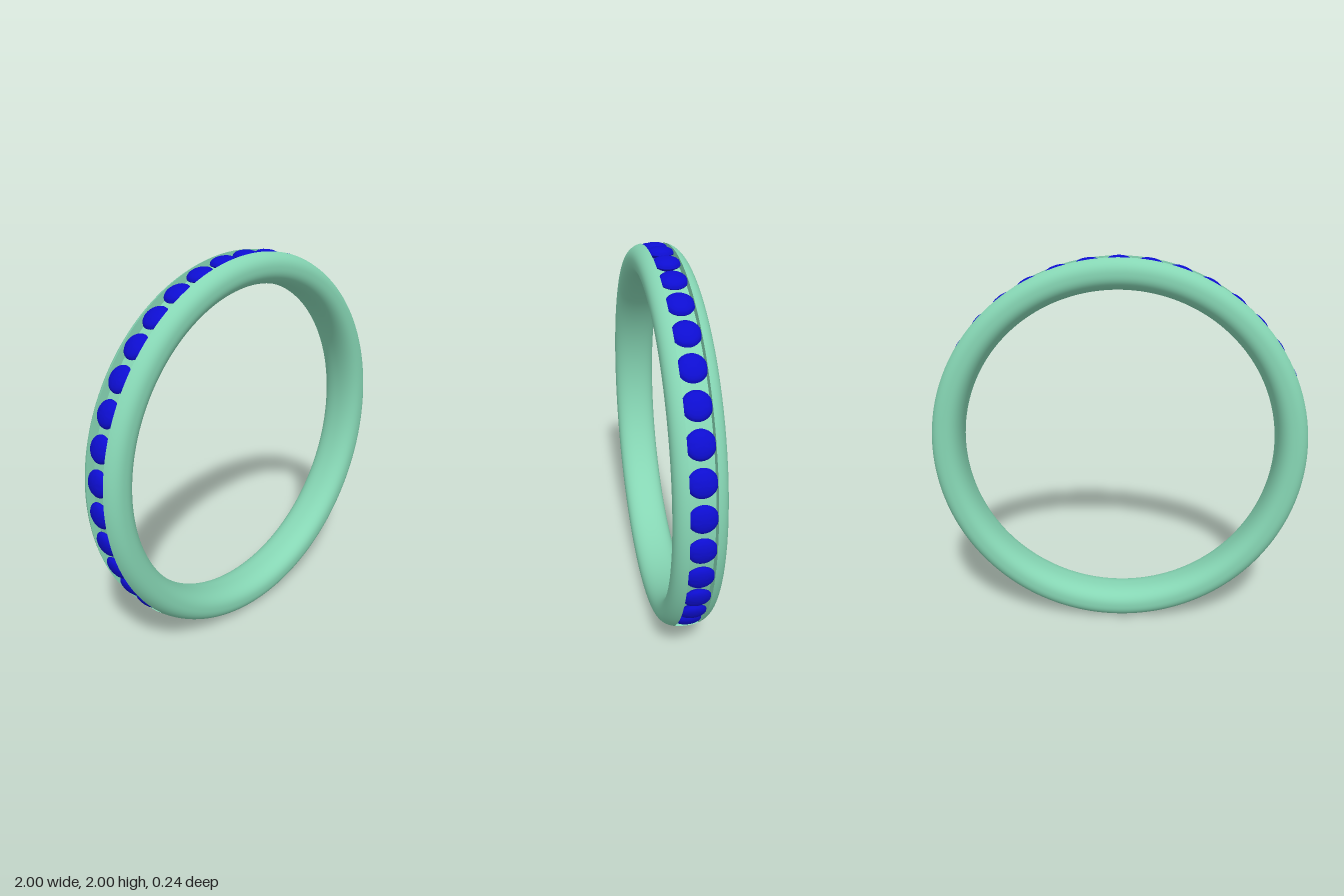
import * as THREE from 'three';
import { toCreasedNormals } from 'three/addons/utils/BufferGeometryUtils.js';

const MID = 0.917, HALF_R = 0.083, HALF_Z = 0.118, POWER = 2.4; // rounded band section
const SLOT = 0.06, FLOOR = 0.95; // channel half width and floor radius
const OPEN = Math.PI / 4; // channel ends, measured from the bottom of the ring
const SLOT_T = Math.asin(Math.pow(SLOT / HALF_Z, POWER / 2));

// Points (radius, z) along the band section between two parameters
function section(t0, t1, n) {
  const bulge = (v) => Math.sign(v) * Math.pow(Math.abs(v), 2 / POWER);
  return Array.from({ length: n + 1 }, (_, i) => {
    const t = t0 + ((t1 - t0) * i) / n;
    return new THREE.Vector2(MID + HALF_R * bulge(Math.cos(t)), HALF_Z * bulge(Math.sin(t)));
  });
}

// Revolve about the z axis; angle 0 is the bottom of the ring
function sweep(points, start, length, segments) {
  return new THREE.LatheGeometry(points, segments, start, length).rotateX(Math.PI / 2);
}

export function createModel() {
  const ring = new THREE.Group();
  ring.name = 'ring';
  const metal = new THREE.MeshStandardMaterial({ color: 0x86d6b4, side: THREE.DoubleSide });
  const gem = new THREE.MeshStandardMaterial({ color: 0x0d0dd0 });
  const add = (name, geometry, material, parent = ring) => {
    const mesh = new THREE.Mesh(geometry, material);
    mesh.name = name;
    parent.add(mesh);
    return mesh;
  };

  // Band: sides and inner face all round, solid outer face along the bottom
  add('band', sweep(section(SLOT_T, 2 * Math.PI - SLOT_T, 56), 0, 2 * Math.PI, 192), metal);
  const crown = section(-SLOT_T, SLOT_T, 12);
  add('bottomOuterFace', sweep(crown, -OPEN, 2 * OPEN, 48), metal);

  // Channel walls and floor
  const rim = crown[0].x;
  const channel = [[rim, -SLOT], [FLOOR, -SLOT], [FLOOR, SLOT], [rim, SLOT]].map((p) => new THREE.Vector2(...p));
  add('channel', toCreasedNormals(sweep(channel, OPEN, 2 * (Math.PI - OPEN), 144), 0.6), metal);

  // End walls of the channel
  const wall = new THREE.Shape([new THREE.Vector2(FLOOR, -SLOT), ...crown, new THREE.Vector2(FLOOR, SLOT)]);
  for (const side of [-1, 1]) {
    const geometry = new THREE.ShapeGeometry(wall).rotateX(Math.PI / 2);
    add('channelEnd', geometry.rotateZ(side * OPEN - Math.PI / 2), metal);
  }

  // Domed stones evenly spaced round the channel
  const stones = new THREE.Group();
  stones.name = 'stones';
  ring.add(stones);
  const profile = [[0, 0.925], [0.064, 0.966], [0.066, 0.971], [0.063, 0.979], [0.055, 0.987], [0.043, 0.993], [0.024, 0.998], [0, 1]];
  const stone = toCreasedNormals(
    new THREE.LatheGeometry(profile.map((p) => new THREE.Vector2(...p)), 32), 0.7);
  const step = THREE.MathUtils.degToRad(9.33);
  for (let i = -14; i <= 14; i++) add('stone', stone, gem, stones).rotation.z = i * step;

  ring.position.y = 1;
  const model = new THREE.Group();
  model.name = 'channelSetRing';
  model.add(ring);
  return model;
}
